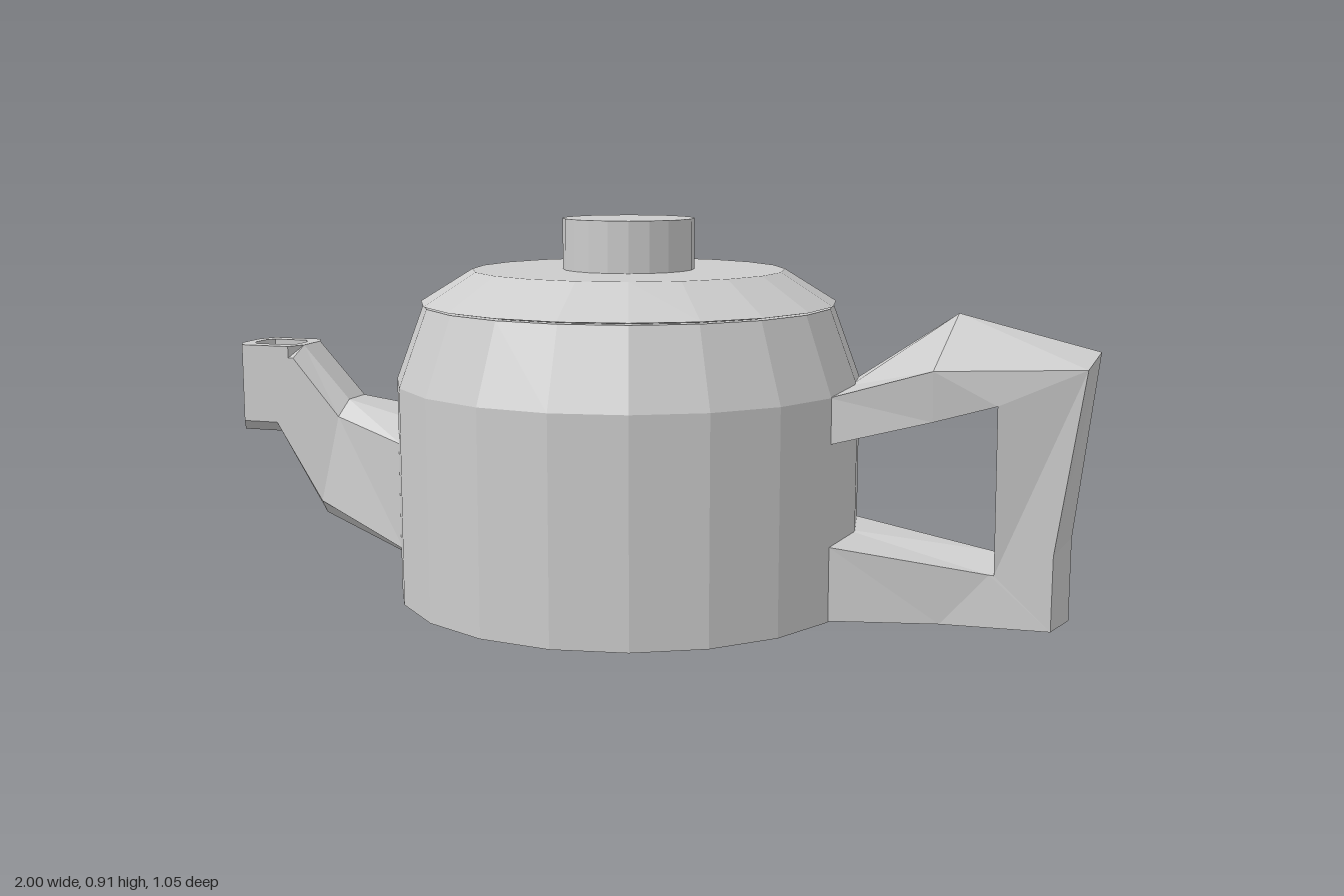
import * as THREE from 'three';

const material = new THREE.MeshStandardMaterial({ color: 0xcccccc, flatShading: true });
const AXIS_X = -0.037;
const SIDES = 20;

function addMesh(group, geometry, name) {
  const mesh = new THREE.Mesh(geometry, material);
  mesh.name = name;
  group.add(mesh);
  return mesh;
}

// Round part turned about the pot's axis; profile is [radius, y] from bottom to top.
function turned(group, profile, name) {
  const points = profile.map(([r, y]) => new THREE.Vector2(r, y));
  addMesh(group, new THREE.LatheGeometry(points, SIDES), name).position.x = AXIS_X;
}

// Skin over cross-sections; each is half a loop (z >= 0) that is mirrored in z.
function loft(halfSections) {
  const loops = halfSections.map((half) => [
    ...half,
    ...half.filter((p) => p[2] > 0).reverse().map(([x, y, z]) => [x, y, -z]),
  ]);
  const positions = [];
  for (let s = 0; s < loops.length - 1; s++) {
    const n = loops[s].length;
    for (let i = 0; i < n; i++) {
      const j = (i + 1) % n;
      const a = loops[s][i], b = loops[s][j], c = loops[s + 1][j], d = loops[s + 1][i];
      positions.push(...a, ...b, ...c, ...a, ...c, ...d);
    }
  }
  const geometry = new THREE.BufferGeometry();
  geometry.setAttribute('position', new THREE.Float32BufferAttribute(positions, 3));
  geometry.computeVertexNormals();
  return geometry;
}

// Chamfered spout section between an upper and a lower point, half width w.
function spoutSection([x0, y0], [x1, y1], w) {
  return [[0, w / 2], [0.13, w], [0.87, w], [1, w / 2]].map(([t, z]) => [
    x0 + (x1 - x0) * t, y0 + (y1 - y0) * t, z,
  ]);
}

// Handle section: outer ridge, outer edge, inner edge, inner ridge.
function handleSection(outerRidge, outerEdge, innerEdge, innerRidge) {
  return [[...outerRidge, 0], outerEdge, innerEdge, [...innerRidge, 0]];
}

export function createModel() {
  const group = new THREE.Group();
  group.name = 'teapot';

  // Pot with a narrower foot
  turned(group, [[0, 0], [0.305, 0], [0.445, 0.066], [0.523, 0.066], [0.523, 0.55], [0.46, 0.72], [0, 0.72]], 'body');

  // Lid and its knob
  turned(group, [[0.437, 0.72], [0.466, 0.725], [0.35, 0.797], [0, 0.797]], 'lid');
  turned(group, [[0.147, 0.79], [0.147, 0.91], [0, 0.91]], 'lidKnob');

  // Spout: recessed mouth, bent neck, wide base
  addMesh(group, loft([
    spoutSection([-0.915, 0.48], [-0.92, 0.48], 0.001),
    spoutSection([-0.86, 0.48], [-0.975, 0.48], 0.045),
    spoutSection([-0.86, 0.6], [-0.975, 0.6], 0.045),
    spoutSection([-0.835, 0.6], [-1, 0.6], 0.08),
    spoutSection([-0.835, 0.6], [-1, 0.39], 0.08),
    spoutSection([-0.835, 0.6], [-0.9, 0.39], 0.08),
    spoutSection([-0.72, 0.475], [-0.786, 0.198], 0.08),
    spoutSection([-0.53, 0.44], [-0.53, 0.11], 0.16),
  ]), 'spout');

  // Handle: ridged upper arm, leaning grip, lower arm
  addMesh(group, loft([
    handleSection([0.47, 0.555], [0.455, 0.55, 0.16], [0.455, 0.45, 0.16], [0.455, 0.45]),
    handleSection([0.70, 0.72], [0.67, 0.615, 0.16], [0.67, 0.507, 0.147], [0.67, 0.507]),
    handleSection([0.995, 0.648], [0.975, 0.622, 0.10], [0.80, 0.545, 0.138], [0.80, 0.545]),
    handleSection([0.95, 0.25], [0.92, 0.23, 0.10], [0.80, 0.18, 0.10], [0.80, 0.208]),
    handleSection([0.95, 0.068], [0.92, 0.068, 0.10], [0.80, 0.18, 0.10], [0.80, 0.208]),
    handleSection([0.69, 0.068], [0.69, 0.068, 0.11], [0.79, 0.181, 0.101], [0.79, 0.209]),
    handleSection([0.455, 0.068], [0.455, 0.068, 0.16], [0.46, 0.23, 0.16], [0.46, 0.235]),
  ]), 'handle');

  return group;
}
